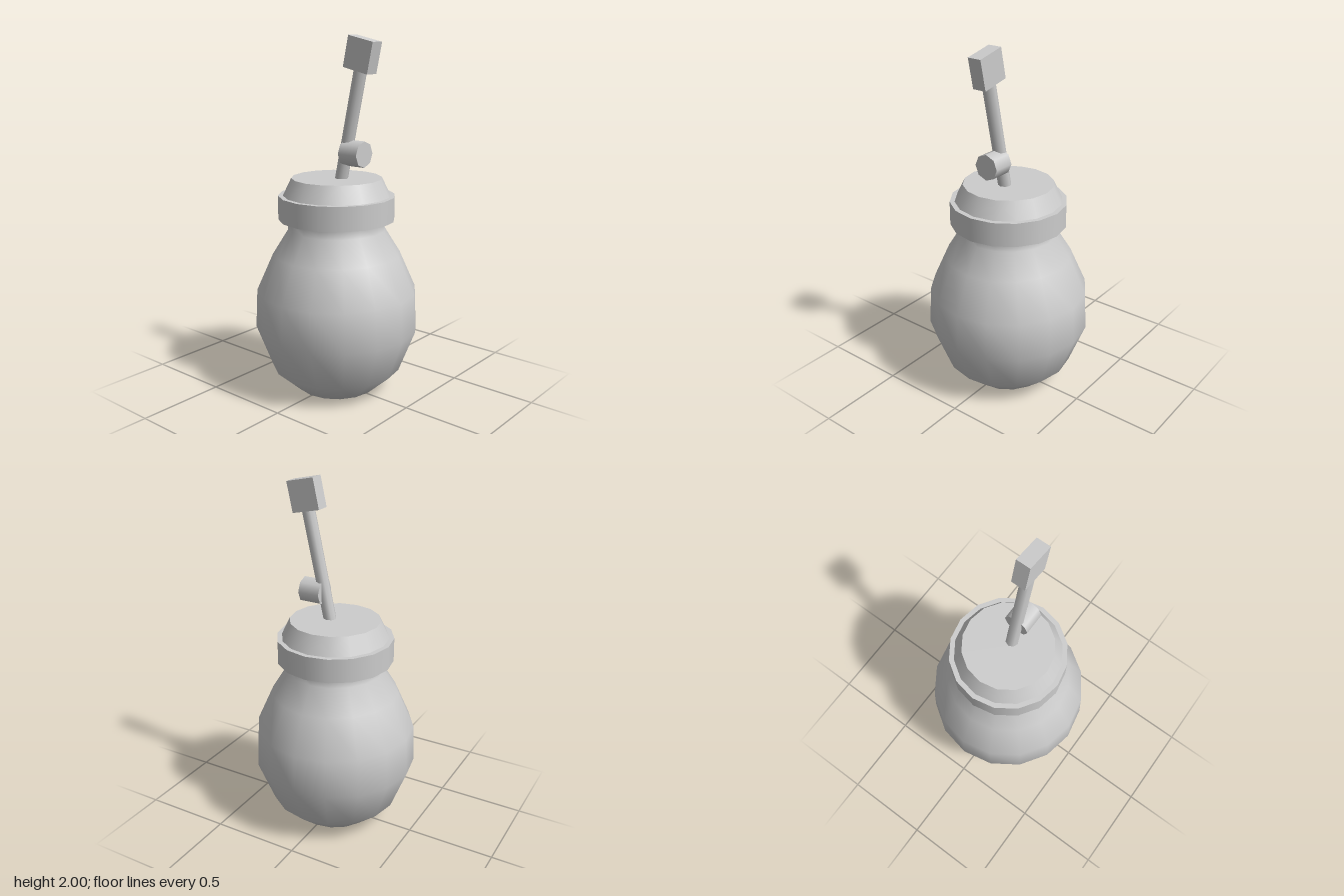
import * as THREE from 'three';

export function createModel() {
  const group = new THREE.Group();
  const grey = new THREE.MeshStandardMaterial({ color: 0xcccccc });
  grey.name = 'light grey';

  const add = (name, geometry, x, y, z, tilt = 0) => {
    const mesh = new THREE.Mesh(geometry, grey);
    mesh.name = name;
    mesh.position.set(x, y, z);
    mesh.rotation.z = tilt;
    group.add(mesh);
    return mesh;
  };

  // Rounded jar with a narrow neck
  const profile = [
    [0, 0], [0.23, 0.005], [0.37, 0.13], [0.463, 0.37],
    [0.453, 0.59], [0.36, 0.8], [0.273, 0.94], [0.28, 1.0],
  ].map(([r, y]) => new THREE.Vector2(r, y));
  add('jar', new THREE.LatheGeometry(profile, 16), 0, 0, 0);

  // Stepped lid
  add('lidBand', new THREE.CylinderGeometry(0.327, 0.327, 0.135, 16), 0, 1.065, 0);
  add('lidTop', new THREE.CylinderGeometry(0.253, 0.301, 0.1, 16), 0, 1.18, 0);

  // Leaning stem with a block at its tip
  const tilt = -0.214;
  const along = (y) => 0.035 + (y - 1.23) * Math.tan(-tilt);
  add('stem', new THREE.CylinderGeometry(0.036, 0.036, 0.68, 8), along(1.52), 1.52, 0, tilt);
  add('tipBlock', new THREE.BoxGeometry(0.165, 0.169, 0.08), 0.174, 1.9, 0, tilt);

  // Short side knob on the stem
  add('knob', new THREE.CylinderGeometry(0.072, 0.072, 0.125, 8), 0.13, 1.375, 0, Math.PI / 2);

  return group;
}
